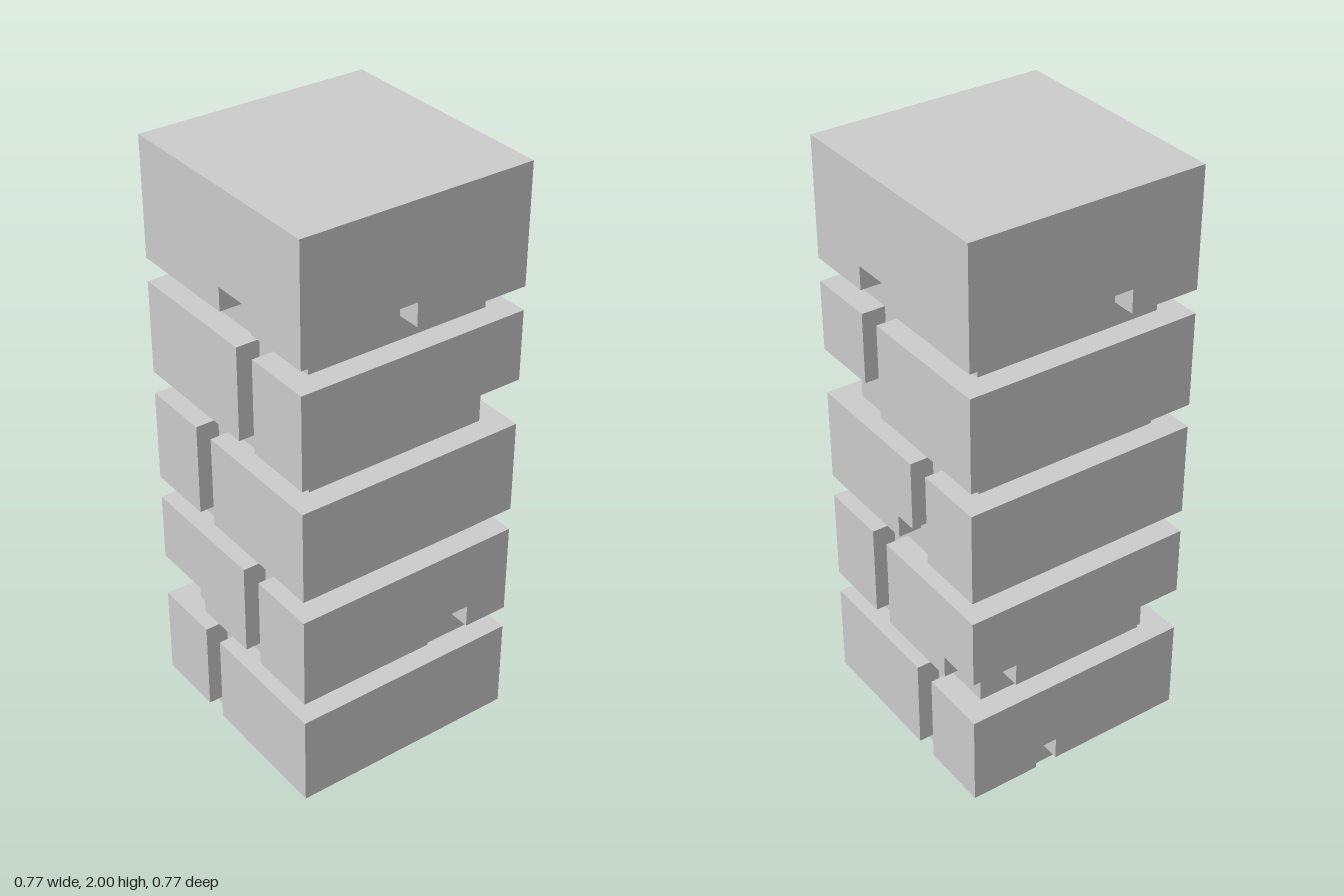
import * as THREE from 'three';

const U = 2 / 26; // one grid unit; the pillar is 26 units tall and 10 wide
const material = new THREE.MeshStandardMaterial({ color: 0xcccccc, flatShading: true });

// Square outline, 10 wide, with one-unit-deep cuts along each side.
// cuts = [front, right, back, left]; each lists [from, to] spans running
// counter-clockwise. Spans that reach a corner (+-5) remove that corner.
function outline(cuts) {
  const points = [];
  for (let side = 0; side < 4; side++) {
    const spans = cuts[side] || [];
    const local = [];
    if (!spans.length || spans[0][0] > -5) local.push([-5, 5]);
    for (const [a, b] of spans) {
      if (a === -5) local.push([-4, 4]);
      else local.push([a, 5], [a, 4]);
      if (b < 5) local.push([b, 4], [b, 5]);
    }
    for (const [u, r] of local) {
      let x = u, y = -r;
      for (let k = 0; k < side; k++) [x, y] = [-y, x];
      points.push(new THREE.Vector2(x * U, y * U));
    }
  }
  return new THREE.Shape(points);
}

// Horizontal layer of the pillar between two heights
function layer(name, y0, y1, cuts) {
  const geometry = new THREE.ExtrudeGeometry(outline(cuts), {
    depth: (y1 - y0) * U, bevelEnabled: false,
  });
  geometry.rotateX(-Math.PI / 2);
  geometry.translate(0, y0 * U, 0);
  const mesh = new THREE.Mesh(geometry, material);
  mesh.name = name;
  return mesh;
}

// Recessed mortar joint, one unit tall
function joint(y) {
  const mesh = new THREE.Mesh(new THREE.BoxGeometry(8 * U, U, 8 * U), material);
  mesh.position.y = (y + 0.5) * U;
  mesh.name = 'mortarJoint';
  return mesh;
}

export function createModel() {
  const pillar = new THREE.Group();
  pillar.name = 'brickPillar';

  // Vertical joints alternate between courses, on front and back
  const oddGaps = [[[-2, -1]], [], [[1, 2]], []];
  const evenGaps = [[[1, 2]], [], [[-2, -1]], []];

  // Bottom layer of each course: vertical joints plus chipped notches
  const chipped = [
    [[[-2, -1]], [], [[1, 2]], [[-2, -1]]],
    [[[-5, -2], [1, 2]], [[1, 3]], [[-2, -1], [3, 5]], [[-5, -3], [3, 5]]],
    [[[-2, -1]], [], [[0, 2]], []],
    [[[1, 2]], [[3, 5]], [[-5, -1]], []],
  ];

  chipped.forEach((cuts, i) => {
    const y = i * 5;
    const course = new THREE.Group();
    course.name = 'brickCourse' + (i + 1);
    course.add(
      joint(y),
      layer('chippedBrickBase', y + 1, y + 2, cuts),
      layer('brickBody', y + 2, y + 5, i % 2 ? evenGaps : oddGaps),
    );
    pillar.add(course);
  });

  // Solid cap with a notch in the lower edge of every side
  const cap = new THREE.Group();
  cap.name = 'cap';
  cap.add(
    joint(20),
    layer('notchedCapBase', 21, 22, [[[0, 2]], [[-2, 0]], [[-2, 0]], [[0, 2]]]),
    layer('capBlock', 22, 26, []),
  );
  pillar.add(cap);
  return pillar;
}
